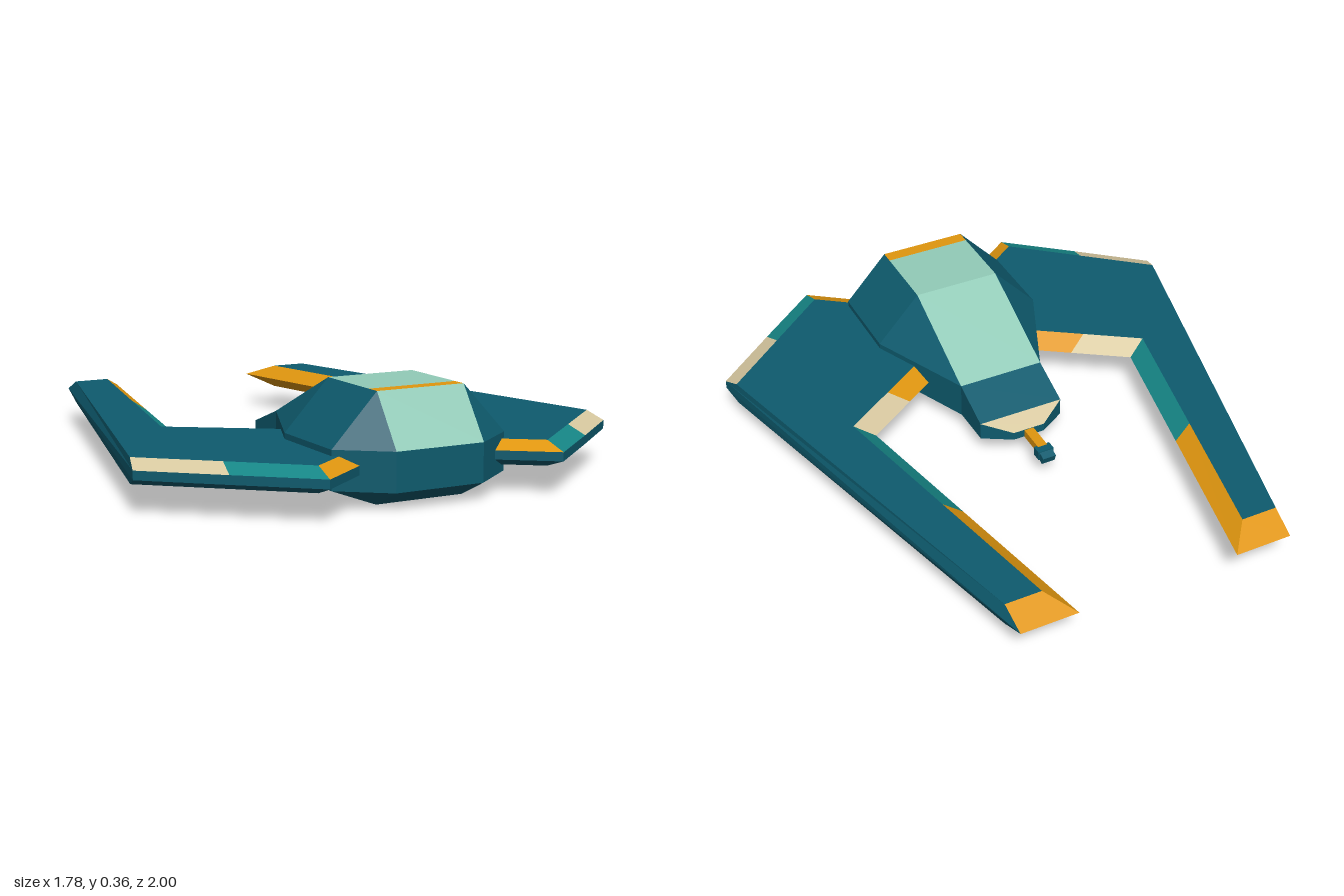
import * as THREE from 'three';

const COLORS = { dark: 0x0e5b6e, teal: 0x168686, cream: 0xd8c9a0, amber: 0xe0960f, mint: 0x92cbb8 };
const material = (name) =>
  new THREE.MeshStandardMaterial({ color: COLORS[name], flatShading: true });

// Collects flat faces by colour and turns each colour into one mesh.
class Panels {
  constructor(mirror = 1) { this.mirror = mirror; this.sets = {}; }
  tri(color, a, b, c) {
    const area = new THREE.Vector3().subVectors(b, a).cross(new THREE.Vector3().subVectors(c, a));
    if (area.length() < 1e-7) return;
    const out = (this.sets[color] ??= []);
    const corners = this.mirror > 0 ? [a, b, c] : [a, c, b];
    for (const p of corners) out.push(p.x * this.mirror, p.y, p.z);
  }
  quad(color, a, b, c, d) { this.tri(color, a, b, c); this.tri(color, a, c, d); }
  build(name) {
    const group = new THREE.Group();
    group.name = name;
    for (const [color, positions] of Object.entries(this.sets)) {
      const geo = new THREE.BufferGeometry();
      geo.setAttribute('position', new THREE.Float32BufferAttribute(positions, 3));
      geo.computeVertexNormals();
      const mesh = new THREE.Mesh(geo, material(color));
      mesh.name = `${name} ${color} panels`;
      group.add(mesh);
    }
    return group;
  }
}

// Faceted hull lofted through cross-sections from nose to tail.
function createHull() {
  const wide = [[0.16, 0], [0.32, 0.06], [0.32, 0.19], [0.16, 0.36]];
  const sections = [
    [0.94, [[0.16, 0.06], [0.16, 0.06], [0.16, 0.19], [0.16, 0.19]]],
    [0.82, wide], [0.77, wide], [0.51, wide],
    [0.14, [[0.16, 0.06], [0.16, 0.06], [0.16, 0.19], [0.16, 0.19]]],
    [-0.02, [[0.16, 0.065], [0.16, 0.065], [0.16, 0.13], [0.16, 0.13]]],
    [-0.085, [[0.06, 0.07], [0.06, 0.07], [0.06, 0.1], [0.06, 0.1]]],
  ];
  const topColors = ['mint', 'amber', 'mint', 'mint', 'dark', 'cream'];
  const rings = sections.map(([z, half]) => [
    ...half.map(([x, y]) => new THREE.Vector3(x, y, z)),
    ...half.map(([x, y]) => new THREE.Vector3(-x, y, z)).reverse(),
  ]);
  const panels = new Panels();
  for (let i = 0; i < rings.length - 1; i++) {
    const f = rings[i], b = rings[i + 1];
    for (let j = 0; j < 8; j++) {
      const k = (j + 1) % 8;
      panels.quad(j === 3 ? topColors[i] : 'dark', f[j], b[j], b[k], f[k]);
    }
  }
  // nose and tail caps
  const nose = rings[0], tail = rings[rings.length - 1];
  panels.quad('dark', nose[0], nose[2], nose[4], nose[6]);
  panels.quad('dark', tail[6], tail[4], tail[2], tail[0]);
  return panels.build('hull');
}

// Swept wing: flat top and bottom outline with a bevelled rim around it.
function createWing(side) {
  // top x, top z, rim x, rim z, half height of rim, upper bevel colour, lower bevel colour
  const outline = [
    [0.2, 0.76, 0.2, 0.835, 0.015, 'amber', 'dark'],
    [0.42, 0.92, 0.425, 1.0, 0.015, 'teal', 'dark'],
    [0.645, 0.73, 0.66, 0.805, 0.015, 'cream', 'dark'],
    [0.87, 0.54, 0.89, 0.61, 0.015, 'dark', 'dark'],
    [0.5, -0.9, 0.495, -1, 0, 'amber', 'amber'],
    [0.37, -0.9, 0.29, -1, 0, 'amber', 'amber'],
    [0.477, -0.39, 0.412, -0.41, 0, 'teal', 'dark'],
    [0.585, 0.125, 0.515, 0.09, 0, 'cream', 'dark'],
    [0.4, 0.25, 0.33, 0.215, 0, 'amber', 'dark'],
    [0.2, 0.385, 0.16, 0.33, 0, 'dark', 'dark'],
  ];
  const topY = 0.17, bottomY = 0.085, midY = 0.128;
  const V = (x, y, z) => new THREE.Vector3(x, y, z);
  const top = outline.map(([x, z]) => V(x, topY, z));
  const bottom = outline.map(([x, z]) => V(x, bottomY, z));
  const upper = outline.map(([, , x, z, h]) => V(x, midY + h, z));
  const lower = outline.map(([, , x, z, h]) => V(x, midY - h, z));
  const panels = new Panels(side);
  outline.forEach((row, i) => {
    const k = (i + 1) % outline.length;
    panels.quad(row[5], upper[i], upper[k], top[k], top[i]);
    panels.quad('dark', lower[i], lower[k], upper[k], upper[i]);
    panels.quad(row[6], bottom[i], bottom[k], lower[k], lower[i]);
  });
  const flat = outline.map(([x, z]) => new THREE.Vector2(x, -z));
  for (const [a, b, c] of THREE.ShapeUtils.triangulateShape(flat, [])) {
    panels.tri('dark', top[a], top[b], top[c]);
    panels.tri('dark', bottom[a], bottom[c], bottom[b]);
  }
  return panels.build(side > 0 ? 'leftWing' : 'rightWing');
}

// Small tail boom with an angled tip block.
function createTailBoom() {
  const group = new THREE.Group();
  group.name = 'tailBoom';
  const box = (name, color, size, y, z, tilt = 0) => {
    const mesh = new THREE.Mesh(new THREE.BoxGeometry(...size), material(color));
    mesh.name = name;
    mesh.position.set(0, y, z);
    mesh.rotation.x = tilt;
    group.add(mesh);
  };
  box('boom', 'amber', [0.036, 0.03, 0.12], 0.083, -0.13);
  box('boomTip', 'dark', [0.06, 0.034, 0.035], 0.08, -0.2);
  box('boomEnd', 'dark', [0.05, 0.03, 0.03], 0.075, -0.225, -0.35);
  return group;
}

export function createModel() {
  const model = new THREE.Group();
  model.name = 'spacecraft';
  model.add(createHull(), createWing(1), createWing(-1), createTailBoom());
  return model;
}
